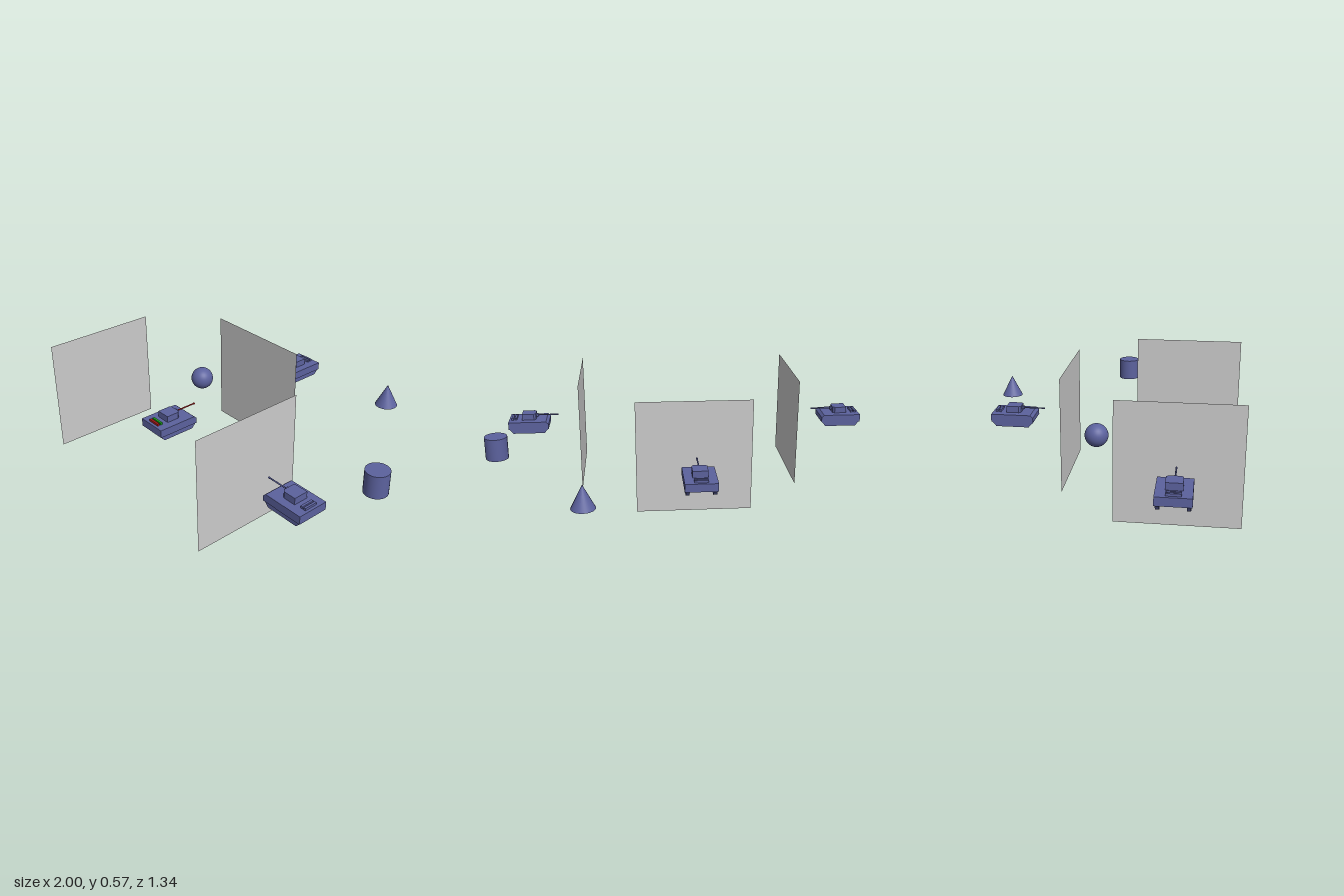
import * as THREE from 'three';

const BLUE = 0x5c629e, RED = 0xb01818, GREEN = 0x18a018;
const paint = (color, extra = {}) => new THREE.MeshStandardMaterial({ color, ...extra });

function add(parent, name, geometry, material, x = 0, y = 0, z = 0) {
  const mesh = new THREE.Mesh(geometry, material);
  mesh.name = name;
  mesh.position.set(x, y, z);
  parent.add(mesh);
  return mesh;
}

// Extrude a flat outline by a depth, centred on the extrusion axis
function slab(points, depth) {
  const shape = new THREE.Shape(points.map(([a, b]) => new THREE.Vector2(a, b)));
  return new THREE.ExtrudeGeometry(shape, { depth, bevelEnabled: false }).translate(0, 0, -depth / 2);
}

// Side outline (forward, up) extruded across the width, facing +z
const sideSlab = (points, width) => slab(points, width).rotateY(-Math.PI / 2);

function tank(name, barrelColor, frontBarColor, rearBarColor) {
  const g = new THREE.Group();
  g.name = name;
  const body = paint(BLUE, { flatShading: true });

  // Hull with sloped nose
  add(g, 'hull', sideSlab([
    [-0.107, 0.025], [0.107, 0.025], [0.107, 0.051], [0.093, 0.064], [-0.107, 0.064],
  ], 0.152), body);

  // Tracks with sloping ends
  for (const side of [-1, 1]) {
    add(g, 'track', sideSlab([
      [-0.083, 0], [0.083, 0], [0.106, 0.026], [-0.106, 0.026],
    ], 0.017), body, side * 0.062);
  }

  // Turret with cut front corners
  const plan = [[-0.036, 0.037], [0.036, 0.037], [0.036, -0.026], [0.026, -0.037], [-0.026, -0.037], [-0.036, -0.026]];
  add(g, 'turret', slab(plan, 0.032).rotateX(-Math.PI / 2), body, 0, 0.08, 0);

  // Gun
  const gun = paint(barrelColor);
  add(g, 'mantlet', new THREE.BoxGeometry(0.018, 0.014, 0.012), body, 0, 0.082, 0.042);
  add(g, 'barrel', new THREE.CylinderGeometry(0.0035, 0.0035, 0.118, 12).rotateX(Math.PI / 2), gun, 0, 0.082, 0.095);
  add(g, 'muzzle', new THREE.CylinderGeometry(0.0045, 0.0045, 0.01, 12).rotateX(Math.PI / 2), gun, 0, 0.082, 0.15);

  // Two bars across the rear deck
  add(g, 'frontDeckBar', new THREE.BoxGeometry(0.064, 0.012, 0.011), paint(frontBarColor), 0, 0.069, -0.071);
  add(g, 'rearDeckBar', new THREE.BoxGeometry(0.064, 0.012, 0.011), paint(rearBarColor), 0, 0.069, -0.088);
  return g;
}

export function createModel() {
  const model = new THREE.Group();
  model.name = 'tankArena';

  // Four tanks aiming at the middle
  const tanks = [
    ['rightTank', -0.893, 0.385, Math.PI / 2],
    ['leftTank', 0.815, 0.385, -Math.PI / 2],
    ['backTank', -0.038, -0.47, 0],
    ['playerTank', -0.038, 0.385, Math.PI],
  ];
  for (const [name, x, z, turn] of tanks) {
    const t = name === 'playerTank' ? tank(name, RED, GREEN, RED) : tank(name, BLUE, BLUE, BLUE);
    t.position.set(x, 0.248, z);
    t.rotation.y = turn;
    model.add(t);
  }

  // Thin upright walls between the tanks
  const wall = paint(0xcccccc, { side: THREE.DoubleSide });
  const size = 0.57;
  add(model, 'backWall', new THREE.PlaneGeometry(size, size), wall, -0.038, size / 2, -0.183);
  for (const side of [-1, 1]) {
    add(model, 'sideWall', new THREE.PlaneGeometry(size, size).rotateY(side * Math.PI / 2),
      wall, -0.038 + side * 0.567, size / 2, 0.387);
  }

  // Loose solids
  const solid = paint(BLUE);
  add(model, 'ball', new THREE.SphereGeometry(0.057, 32, 20), solid, -0.281, 0.288, -0.016);
  add(model, 'cone', new THREE.ConeGeometry(0.056, 0.112, 32), solid, 0.484, 0.287, -0.615);
  add(model, 'cylinder', new THREE.CylinderGeometry(0.057, 0.057, 0.114, 32), solid, 0.942, 0.288, 0.012);

  return model;
}
